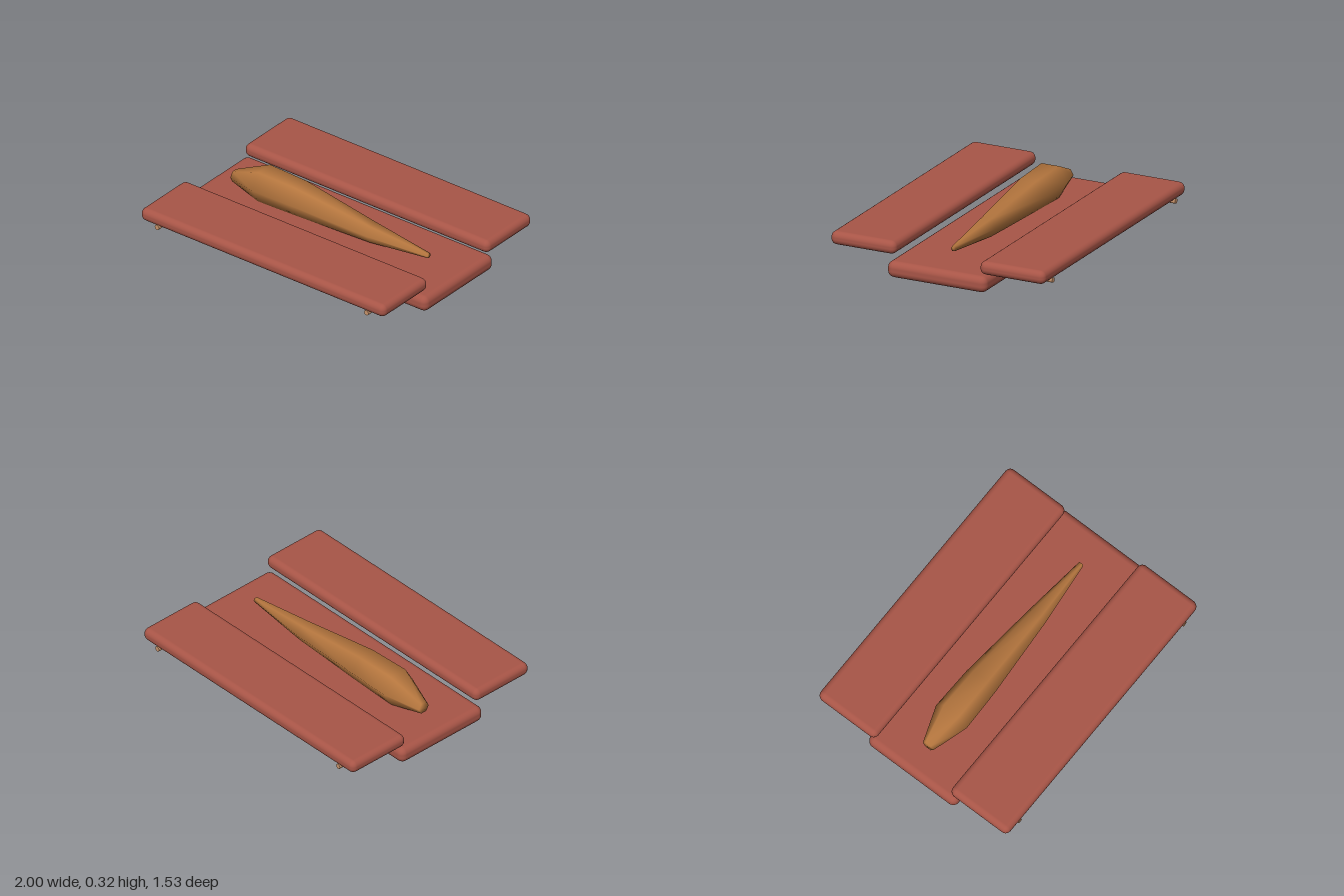
import * as THREE from 'three';
import { RoundedBoxGeometry } from 'three/addons/geometries/RoundedBoxGeometry.js';

const material = (name, color) => {
  const m = new THREE.MeshStandardMaterial({ color });
  m.name = name;
  return m;
};

// Closed solid lofted along x through hexagonal rings [x, centreY, radius]
function loftHexagons(rings) {
  const sides = 6, positions = [], index = [];
  for (const [x, y, r] of rings) {
    for (let i = 0; i < sides; i++) {
      const a = (i / sides) * Math.PI * 2;
      positions.push(x, y + r * Math.sin(a), r * Math.cos(a));
    }
  }
  for (let k = 0; k < rings.length - 1; k++) {
    for (let i = 0; i < sides; i++) {
      const a = k * sides + i, b = k * sides + (i + 1) % sides;
      index.push(a, a + sides, b, b, a + sides, b + sides);
    }
  }
  // End caps
  const last = rings.length - 1;
  [0, last].forEach((k) => {
    const [x, y] = rings[k], centre = positions.length / 3;
    positions.push(x, y, 0);
    for (let i = 0; i < sides; i++) {
      const a = k * sides + i, b = k * sides + (i + 1) % sides;
      if (k === 0) index.push(centre, a, b);
      else index.push(centre, b, a);
    }
  });
  const g = new THREE.BufferGeometry();
  g.setAttribute('position', new THREE.Float32BufferAttribute(positions, 3));
  g.setIndex(index);
  g.computeVertexNormals();
  return g;
}

export function createModel() {
  const model = new THREE.Group();
  const red = material('brick red', 0xa85547);
  const brown = material('golden brown', 0xb5763e);
  const tan = material('light tan', 0xcb956c);

  const add = (name, geometry, mat, x = 0, y = 0, z = 0) => {
    const mesh = new THREE.Mesh(geometry, mat);
    mesh.name = name;
    mesh.position.set(x, y, z);
    model.add(mesh);
    return mesh;
  };

  // Wide rounded base slab
  add('baseSlab', new RoundedBoxGeometry(2, 0.11, 0.71, 3, 0.045), red, 0, 0.055, 0);

  // Side slabs, the front one slightly higher, each with two pegs underneath
  for (const [label, side, bottom] of [['front', 1, 0.15], ['back', -1, 0.12]]) {
    add(label + 'Slab', new RoundedBoxGeometry(1.97, 0.09, 0.465, 3, 0.04), red,
      0, bottom + 0.045, side * 0.5325);
    for (const x of [-0.845, 0.845]) {
      const peg = add(label + 'Peg', new THREE.CylinderGeometry(0.018, 0.018, 0.355, 8), tan,
        x, bottom - 0.002, side * 0.585);
      peg.rotation.x = Math.PI / 2;
    }
  }

  // Tapered six-sided body lying on the base
  add('taperedBody', loftHexagons([
    [-0.82, 0.183, 0.042],
    [-0.58, 0.215, 0.124],
    [-0.28, 0.214, 0.116],
    [0.3, 0.178, 0.068],
    [0.75, 0.175, 0.018],
  ]), brown);

  return model;
}
